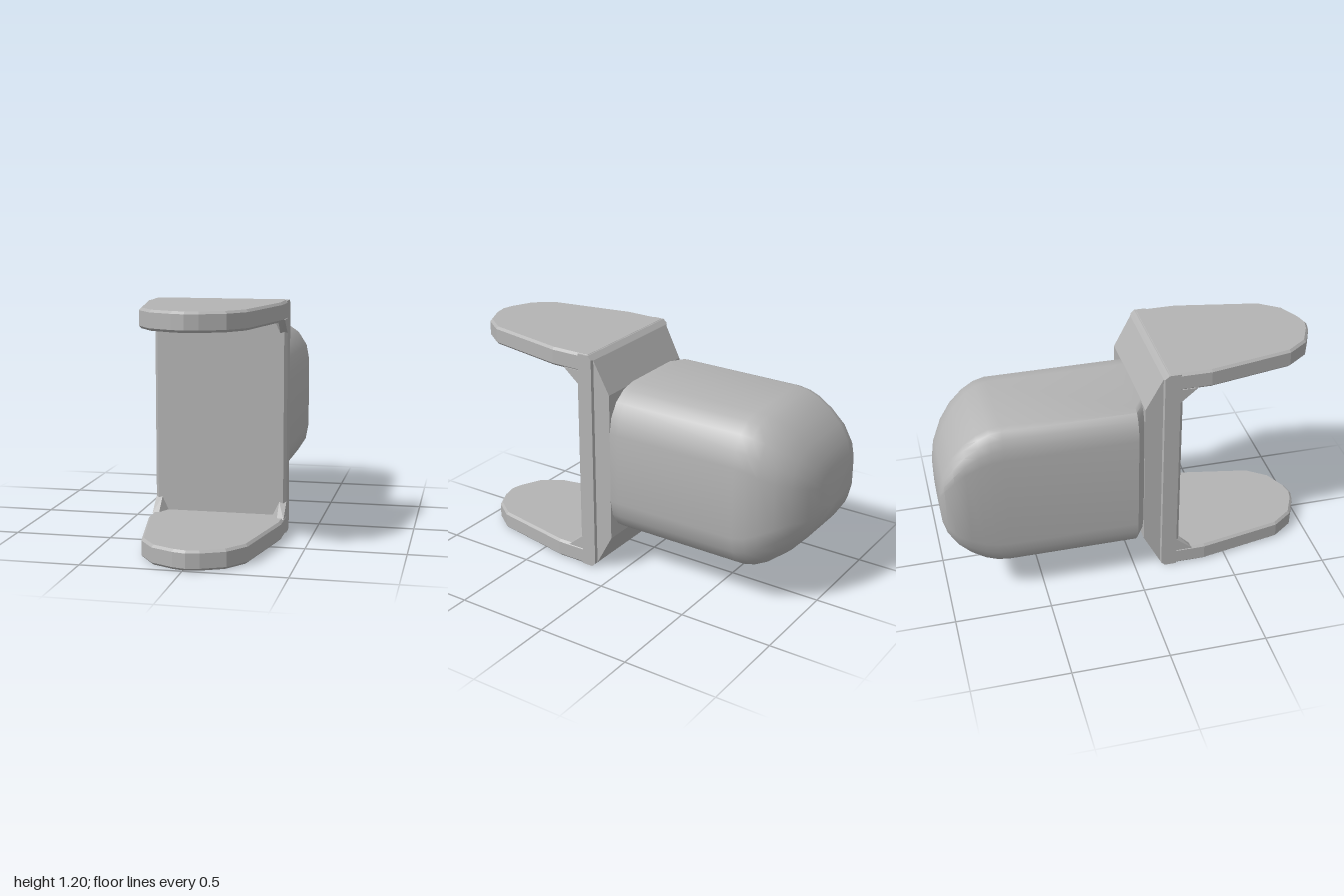
import * as THREE from 'three';
import { toCreasedNormals } from 'three/addons/utils/BufferGeometryUtils.js';
import { ConvexGeometry } from 'three/addons/geometries/ConvexGeometry.js';

const CX = 0.015; // centre of the fork in x
const CY = 0.605; // centre of the model in y

// Skin over counter-clockwise rings ordered from back to front, with flat caps
function loft(rings, crease) {
  const n = rings[0].length, pos = [], index = [];
  rings.forEach(r => r.forEach(p => pos.push(...p)));
  for (let i = 0; i < rings.length - 1; i++) {
    for (let j = 0; j < n; j++) {
      const a = i * n + j, b = i * n + (j + 1) % n;
      index.push(a, b, b + n, a, b + n, a + n);
    }
  }
  const last = (rings.length - 1) * n;
  for (let j = 1; j < n - 1; j++) {
    index.push(0, j + 1, j, last, last + j, last + j + 1);
  }
  const g = new THREE.BufferGeometry();
  g.setAttribute('position', new THREE.Float32BufferAttribute(pos, 3));
  g.setIndex(index);
  return toCreasedNormals(g, crease);
}

// Rectangle with elliptical corners, softer on the +x side
function bodyRing(z, xl, xr, h) {
  const s = h / 0.41, w = xr - xl;
  const rR = [Math.min(0.21, w * 0.4), Math.min(0.22, h * 0.62)];
  const rL = [0.085 * Math.min(1, w / 0.6), 0.15 * s];
  const ring = [];
  [[1, -1, rR], [1, 1, rR], [-1, 1, rL], [-1, -1, rL]].forEach(([sx, sy, r], k) => {
    const cx = sx > 0 ? xr - r[0] : xl + r[0];
    const cy = 0.61 + sy * (h - r[1]);
    for (let i = 0; i <= 4; i++) {
      const a = (k - 1 + i / 4) * Math.PI / 2;
      ring.push([cx + r[0] * Math.cos(a), cy + r[1] * Math.sin(a), z]);
    }
  });
  return ring;
}

function rectRing(z, hw, y0, y1) {
  return [[CX - hw, y0, z], [CX + hw, y0, z], [CX + hw, y1, z], [CX - hw, y1, z]];
}

export function createModel() {
  const group = new THREE.Group();
  const grey = new THREE.MeshStandardMaterial({ color: 0xb4b4b4 });
  grey.name = 'grey';
  const add = (name, geometry) => {
    const mesh = new THREE.Mesh(geometry, grey);
    mesh.name = name;
    group.add(mesh);
    return mesh;
  };

  // Rounded rear body: z, left x, right x, half height
  const sections = [
    [-1, -0.33, 0.03, 0.11], [-0.98, -0.35, 0.12, 0.18], [-0.93, -0.37, 0.21, 0.26],
    [-0.87, -0.37, 0.27, 0.325], [-0.8, -0.37, 0.31, 0.375], [-0.74, -0.37, 0.33, 0.4],
    [-0.68, -0.37, 0.34, 0.41], [0, -0.37, 0.34, 0.41], [0.045, -0.3, 0.34, 0.41],
  ];
  add('body', loft(sections.map(s => bodyRing(...s)), 0.6));

  // Upright plate with its tapered rear
  add('backPlate', loft([
    rectRing(0.045, 0.325, 0.2, 1.01),
    rectRing(0.135, 0.33, 0.03, 1.18),
    rectRing(0.14, 0.345, 0.025, 1.185),
    rectRing(0.16, 0.345, 0.006, 1.204),
    rectRing(0.22, 0.345, 0.006, 1.204),
    rectRing(0.235, 0.33, 0.02, 1.19),
  ], 0.2));

  // Two tapered prongs with a faceted round tip
  const half = [[0.345, 0.155], [0.345, 0.38], [0.26, 0.82], [0.18, 0.93], [0.065, 0.985]];
  const outline = [
    ...half.map(([x, z]) => new THREE.Vector2(CX + x, z)),
    new THREE.Vector2(CX, 1),
    ...half.slice().reverse().map(([x, z]) => new THREE.Vector2(CX - x, z)),
  ];
  const b = 0.012;
  const prong = new THREE.ExtrudeGeometry(new THREE.Shape(outline), {
    depth: 0.097 - 2 * b, bevelEnabled: true, bevelThickness: b,
    bevelSize: b, bevelOffset: -b, bevelSegments: 1,
  });
  prong.rotateX(Math.PI / 2);
  add('upperProng', prong).position.y = 1.206 - b;
  add('lowerProng', prong).position.y = 0.101 - b;

  // Small braces in the inner corners
  const brace = [
    [0.345, 0.51, 0.31], [0.345, 0.435, 0.22], [0.345, 0.51, 0.22],
    [0.31, 0.51, 0.31], [0.31, 0.435, 0.235], [0.275, 0.51, 0.235],
  ];
  for (const sx of [-1, 1]) {
    for (const sy of [-1, 1]) {
      add('cornerBrace', new ConvexGeometry(brace.map(([x, y, z]) =>
        new THREE.Vector3(CX + sx * x, CY + sy * y, z))));
    }
  }
  return group;
}
